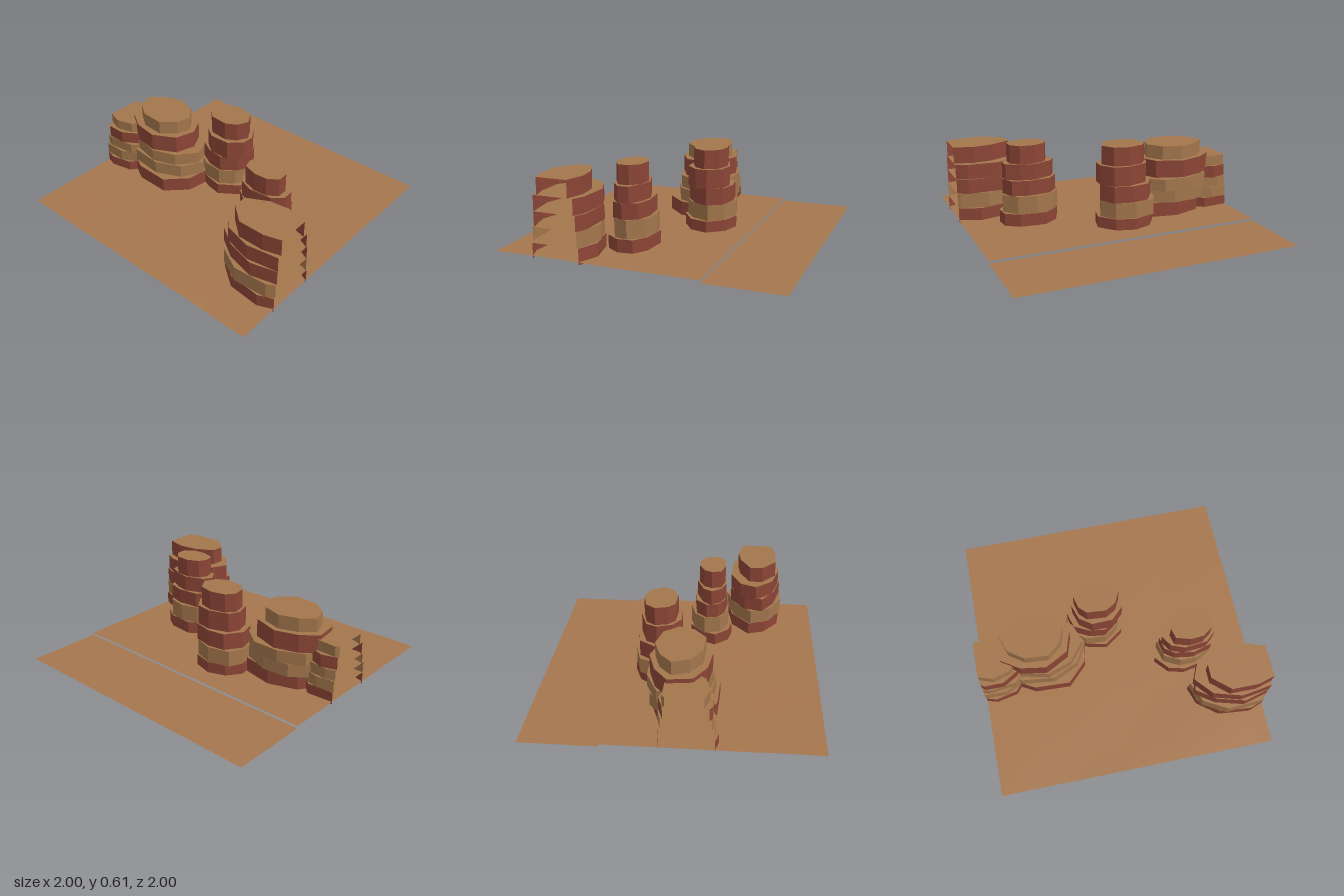
import * as THREE from 'three';

const make = (name, color) => {
  const m = new THREE.MeshStandardMaterial({ color, side: THREE.DoubleSide });
  m.name = name;
  return m;
};

// Small seeded generator for the uneven rock outlines
function seeded(seed) {
  let s = seed * 7919 + 17;
  return () => ((s = (s * 16807) % 2147483647) / 2147483647);
}

// Irregular polygon stretched to fill a box in x and z
function outline(x0, x1, z0, z1, sides, rand) {
  const turn = rand() * 6.28;
  const pts = [];
  for (let i = 0; i < sides; i++) {
    const a = turn + ((i + (rand() - 0.5) * 0.3) / sides) * Math.PI * 2;
    const r = 0.94 + rand() * 0.12;
    pts.push([Math.cos(a) * r, Math.sin(a) * r]);
  }
  const fit = (k, lo, hi) => {
    const v = pts.map((p) => p[k]);
    const min = Math.min(...v), max = Math.max(...v);
    pts.forEach((p) => { p[k] = lo + ((p[k] - min) / (max - min)) * (hi - lo); });
  };
  fit(0, x0, x1);
  fit(1, z0, z1);
  return pts;
}

// Cut a polygon off where side * x passes 1
function clip(pts, side) {
  const out = [];
  pts.forEach((p, i) => {
    const q = pts[(i + 1) % pts.length];
    const dp = 1 - side * p[0], dq = 1 - side * q[0];
    if (dp >= 0) out.push(p);
    if (dp * dq < 0) {
      const t = dp / (dp - dq);
      out.push([side, p[1] + (q[1] - p[1]) * t]);
    }
  });
  return out;
}

// One stratum: vertical facets and a flat ledge, open below and along the cut
function stratum(pts, y0, y1, materials) {
  const walls = [], cap = [];
  const n = pts.length;
  const cx = pts.reduce((s, p) => s + p[0], 0) / n;
  const cz = pts.reduce((s, p) => s + p[1], 0) / n;
  pts.forEach(([px, pz], i) => {
    const [qx, qz] = pts[(i + 1) % n];
    cap.push(cx, y1, cz, qx, y1, qz, px, y1, pz);
    if (Math.abs(px) > 0.9999 && Math.abs(qx) > 0.9999) return;
    walls.push(px, y0, pz, px, y1, pz, qx, y1, qz, px, y0, pz, qx, y1, qz, qx, y0, qz);
  });
  const g = new THREE.BufferGeometry();
  g.setAttribute('position', new THREE.Float32BufferAttribute([...walls, ...cap], 3));
  g.addGroup(0, walls.length / 3, 0);
  g.addGroup(walls.length / 3, cap.length / 3, 1);
  g.computeVertexNormals();
  return new THREE.Mesh(g, materials);
}

// Layers from the ground up: [top, x0, x1, z0, z1, 'r'ed or 't'an]
const MESAS = {
  broadMesa: [
    [0.125, -0.83, -0.21, -0.17, 0.30, 'r'],
    [0.22, -0.84, -0.21, -0.18, 0.27, 't'],
    [0.31, -0.83, -0.23, -0.185, 0.26, 't'],
    [0.44, -0.85, -0.31, -0.17, 0.25, 'r'],
    [0.54, -0.80, -0.355, -0.13, 0.20, 't'],
  ],
  lowMesa: [
    [0.09, -1.16, -0.67, -0.09, 0.31, 'r'],
    [0.17, -1.16, -0.64, -0.09, 0.29, 't'],
    [0.245, -1.15, -0.66, -0.08, 0.28, 't'],
    [0.335, -1.12, -0.70, -0.08, 0.27, 'r'],
    [0.41, -1.10, -0.70, -0.05, 0.25, 't'],
  ],
  tallMesa: [
    [0.10, -0.31, 0.12, -0.325, 0.05, 'r'],
    [0.215, -0.31, 0.10, -0.32, 0.03, 't'],
    [0.335, -0.30, 0.10, -0.30, 0.02, 'r'],
    [0.475, -0.26, 0.10, -0.28, 0.01, 'r'],
    [0.61, -0.24, 0.08, -0.26, -0.02, 'r'],
  ],
  slimMesa: [
    [0.11, 0.285, 0.73, 0.04, 0.36, 'r'],
    [0.24, 0.31, 0.72, 0.04, 0.33, 't'],
    [0.35, 0.32, 0.71, 0.07, 0.32, 'r'],
    [0.465, 0.325, 0.70, 0.085, 0.31, 'r'],
    [0.60, 0.38, 0.66, 0.10, 0.30, 'r'],
  ],
  frontMesa: [
    [0.11, 0.48, 1.17, 0.31, 0.75, 'r'],
    [0.22, 0.48, 1.15, 0.32, 0.745, 't'],
    [0.325, 0.49, 1.14, 0.345, 0.735, 'r'],
    [0.435, 0.48, 1.12, 0.345, 0.72, 'r'],
    [0.555, 0.575, 1.08, 0.395, 0.69, 'r'],
  ],
};

export function createModel() {
  const root = new THREE.Group();
  root.name = 'desertMesas';
  const sand = make('sand', 0xa5764d);
  const red = make('redRock', 0x8c4536);
  const tan = make('tanRock', 0xa3764c);

  // Gently rolling desert floor
  const floor = new THREE.PlaneGeometry(2, 1.46, 16, 12);
  floor.rotateX(-Math.PI / 2).translate(0, 0.018, 0.27);
  const pos = floor.attributes.position;
  for (let i = 0; i < pos.count; i++) {
    const x = pos.getX(i), z = pos.getZ(i);
    const swell = 0.004 * Math.min(1, z + 0.46);
    pos.setY(i, 0.018 + swell * Math.sin(x * 7 + z * 2) * Math.cos(z * 5 - x * 3));
  }
  floor.computeVertexNormals();
  const ground = new THREE.Mesh(floor, sand);
  ground.name = 'desertFloor';
  root.add(ground);

  // Flat strip behind, slightly lower
  const strip = new THREE.PlaneGeometry(2, 0.54);
  strip.rotateX(-Math.PI / 2).translate(0, 0.001, -0.73);
  const back = new THREE.Mesh(strip, sand);
  back.name = 'backStrip';
  root.add(back);

  // Stepped mesas, cut off at the sides of the tile
  Object.entries(MESAS).forEach(([name, layers], m) => {
    const mesa = new THREE.Group();
    mesa.name = name;
    const rand = seeded(m + 3);
    let y = 0;
    layers.forEach(([top, x0, x1, z0, z1, kind], i) => {
      const pts = clip(clip(outline(x0, x1, z0, z1, 9, rand), 1), -1);
      const layer = stratum(pts, y, top, [kind === 'r' ? red : tan, tan]);
      layer.name = `${name}Layer${i + 1}`;
      mesa.add(layer);
      y = top;
    });
    root.add(mesa);
  });
  return root;
}
